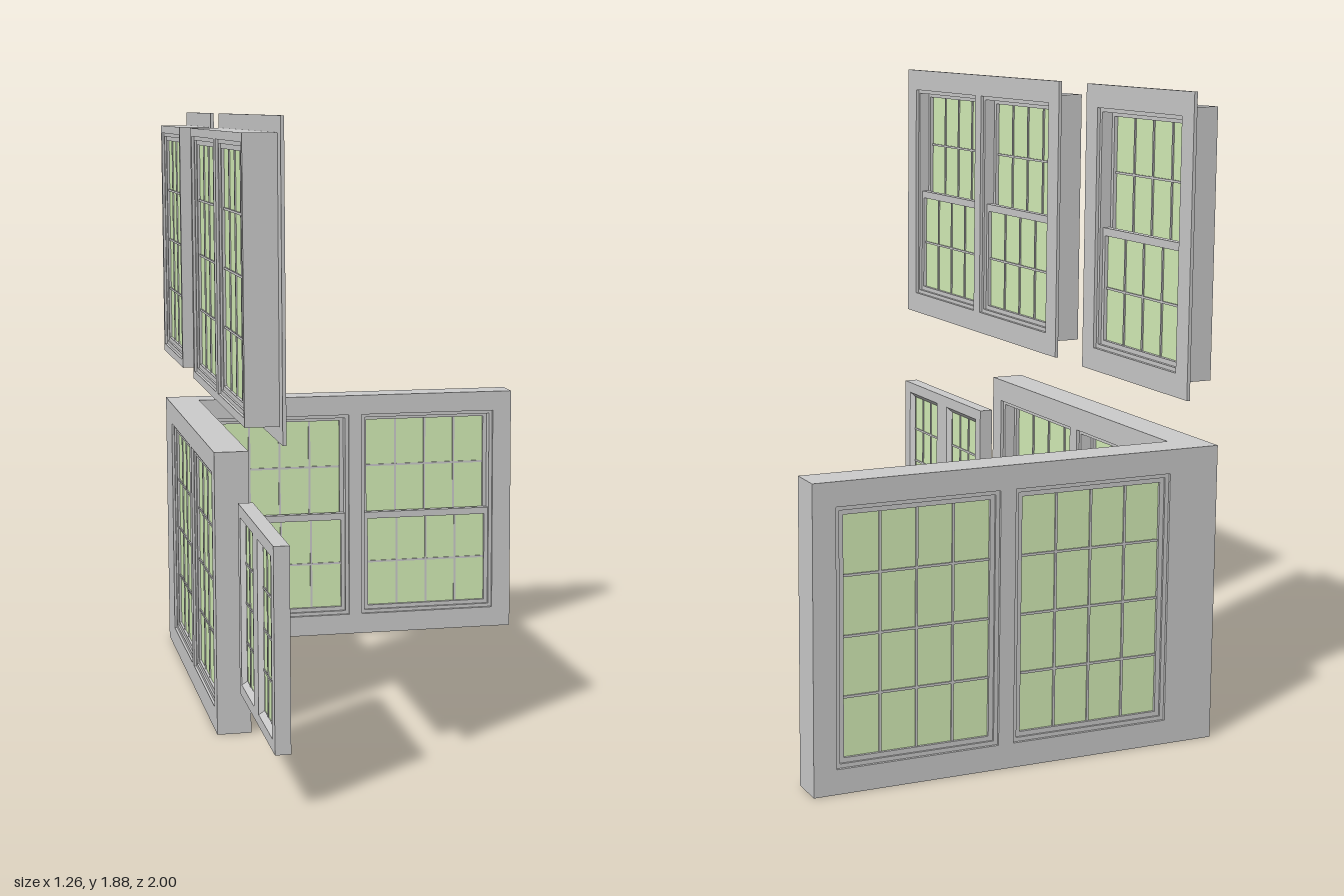
import * as THREE from 'three';

const grey = new THREE.MeshStandardMaterial({ color: 0xcccccc });
const glass = new THREE.MeshStandardMaterial({ color: 0xd6f0b8 });

// every window has the same opening size
const W = 0.49, H = 0.735, RAIL = 0.36;

// box given by its limits
function box(parent, name, x0, x1, y0, y1, z0, z1, material = grey) {
  const mesh = new THREE.Mesh(new THREE.BoxGeometry(x1 - x0, y1 - y0, z1 - z0), material);
  mesh.position.set((x0 + x1) / 2, (y0 + y1) / 2, (z0 + z1) / 2);
  mesh.name = name;
  parent.add(mesh);
}

function rect(target, [x0, x1, y0, y1]) {
  target.moveTo(x0, y0);
  target.lineTo(x1, y0);
  target.lineTo(x1, y1);
  target.lineTo(x0, y1);
  target.closePath();
  return target;
}

// rectangular plate with rectangular openings
function plate(parent, name, outer, holes, z0, z1) {
  const shape = rect(new THREE.Shape(), outer);
  for (const h of holes) shape.holes.push(rect(new THREE.Path(), h));
  const mesh = new THREE.Mesh(
    new THREE.ExtrudeGeometry(shape, { depth: z1 - z0, bevelEnabled: false }), grey);
  mesh.position.z = z0;
  mesh.name = name;
  parent.add(mesh);
}

const inset = ([x0, x1, y0, y1], d) => [x0 + d, x1 - d, y0 + d, y1 - d];

// grid of thin glazing bars
function bars(parent, [x0, x1, y0, y1], cols, rows, z0, z1) {
  const t = 0.0035;
  for (let i = 1; i < cols; i++) {
    const x = x0 + (x1 - x0) * i / cols;
    box(parent, 'glazingBar', x - t, x + t, y0, y1, z0, z1);
  }
  for (let j = 1; j < rows; j++) {
    const y = y0 + (y1 - y0) * j / rows;
    box(parent, 'glazingBar', x0, x1, y - t, y + t, z0, z1);
  }
}

const opening = (cx, y0) => [cx - W / 2, cx + W / 2, y0, y0 + H];

// sliding sash window; local z = 0 is the inner wall face, depth runs to -z
function sashWindow(parent, cx, y0, depth) {
  const win = new THREE.Group();
  win.name = 'sashWindow';
  parent.add(win);
  const o = opening(cx, y0), lining = inset(o, 0.012), pane = inset(o, 0.026);
  const rail = y0 + RAIL, back = -depth + 0.022;
  plate(win, 'lining', o, [lining], -depth + 0.008, -0.01);

  // outer sash with full height pane
  plate(win, 'upperSash', lining, [pane], back - 0.008, -0.045);
  box(win, 'upperGlass', pane[0], pane[1], pane[2], pane[3], back, -0.056, glass);
  bars(win, [pane[0], pane[1], rail + 0.01, pane[3]], 4, 2, -0.056, -0.052);
  bars(win, pane, 4, 4, back - 0.004, back);

  // inner sash, nearer the room
  const low = [lining[0], lining[1], lining[2], rail + 0.012];
  const lowPane = [pane[0], pane[1], pane[2], rail - 0.012];
  plate(win, 'lowerSash', low, [lowPane], -0.044, -0.02);
  box(win, 'lowerGlass', lowPane[0], lowPane[1], lowPane[2], lowPane[3], -0.042, -0.031, glass);
  bars(win, lowPane, 4, 2, -0.031, -0.027);
}

// group whose front faces +x; local x runs toward -z
function sideUnit(root, name, frontX) {
  const g = new THREE.Group();
  g.name = name;
  g.rotation.y = Math.PI / 2;
  g.position.x = frontX;
  root.add(g);
  return g;
}

// upper window box with a thin flange around its inner face
function flangedUnit(root, name, x0, x1, centres) {
  const g = sideUnit(root, name, -0.525), holes = centres.map(c => opening(c, 1.08));
  plate(g, 'flange', [x0, x1, 1.01, 1.885], holes, -0.01, 0);
  plate(g, 'casing', [x0 + 0.05, x1 - 0.045, 1.055, 1.84], holes, -0.105, -0.01);
  for (const c of centres) sashWindow(g, c, 1.08, 0.105);
}

// sloping surround joining a wide rectangle at z0 to a narrow one at z1
function bevel(parent, a, z0, b, z1) {
  const ring = ([x0, x1, y0, y1], z) => [x0, y0, z, x1, y0, z, x1, y1, z, x0, y1, z];
  const index = [];
  for (let i = 0; i < 4; i++) {
    const j = (i + 1) % 4;
    index.push(i, j, 4 + j, i, 4 + j, 4 + i);
  }
  let geo = new THREE.BufferGeometry();
  geo.setAttribute('position',
    new THREE.Float32BufferAttribute([...ring(a, z0), ...ring(b, z1)], 3));
  geo.setIndex(index);
  geo = geo.toNonIndexed();
  geo.computeVertexNormals();
  const mesh = new THREE.Mesh(geo,
    new THREE.MeshStandardMaterial({ color: 0xcccccc, side: THREE.DoubleSide }));
  mesh.name = 'bevelledSurround';
  parent.add(mesh);
}

export function createModel() {
  const root = new THREE.Group();
  root.name = 'windowSet';

  // upper windows
  flangedUnit(root, 'doubleWindow', -0.99, 0.175, [-0.675, -0.14]);
  flangedUnit(root, 'singleWindow', 0.355, 0.98, [0.67]);

  // L-shaped corner window, one leg along each wall
  const depth = 0.105, sill = 0.072;
  const left = sideUnit(root, 'cornerWindowLeftLeg', -0.515);
  const back = new THREE.Group();
  back.name = 'cornerWindowBackLeg';
  back.position.z = -0.895;
  root.add(back);
  for (const [leg, x0, x1, centres] of [
    [left, -0.25, 1, [0.055, 0.59]],
    [back, -0.515, 0.63, [-0.22, 0.317]],
  ]) {
    plate(leg, 'casing', [x0, x1, 0, 0.877], centres.map(c => opening(c, sill)), -depth, 0);
    for (const c of centres) sashWindow(leg, c, sill, depth);
  }

  // small moulding in the inner corner
  const trim = new THREE.Mesh(
    new THREE.CylinderGeometry(0.02, 0.02, 0.785, 8, 1, false, 0, Math.PI / 2), grey);
  trim.name = 'cornerTrim';
  trim.position.set(-0.515, 0.442, -0.895);
  root.add(trim);

  // small fixed double window
  const small = sideUnit(root, 'smallWindow', -0.52);
  const panes = [[-0.94, -0.735, 0.21, 0.688], [-0.62, -0.415, 0.21, 0.688]];
  const cuts = panes.map(p => inset(p, -0.016));
  plate(small, 'frame', [-1, -0.36, 0.16, 0.74], cuts, -0.045, 0);
  panes.forEach((p, i) => {
    bevel(small, cuts[i], 0, p, -0.015);
    bevel(small, cuts[i], -0.045, p, -0.03);
    box(small, 'glass', p[0], p[1], p[2], p[3], -0.029, -0.016, glass);
    bars(small, p, 3, 4, -0.032, -0.013);
  });

  return root;
}
